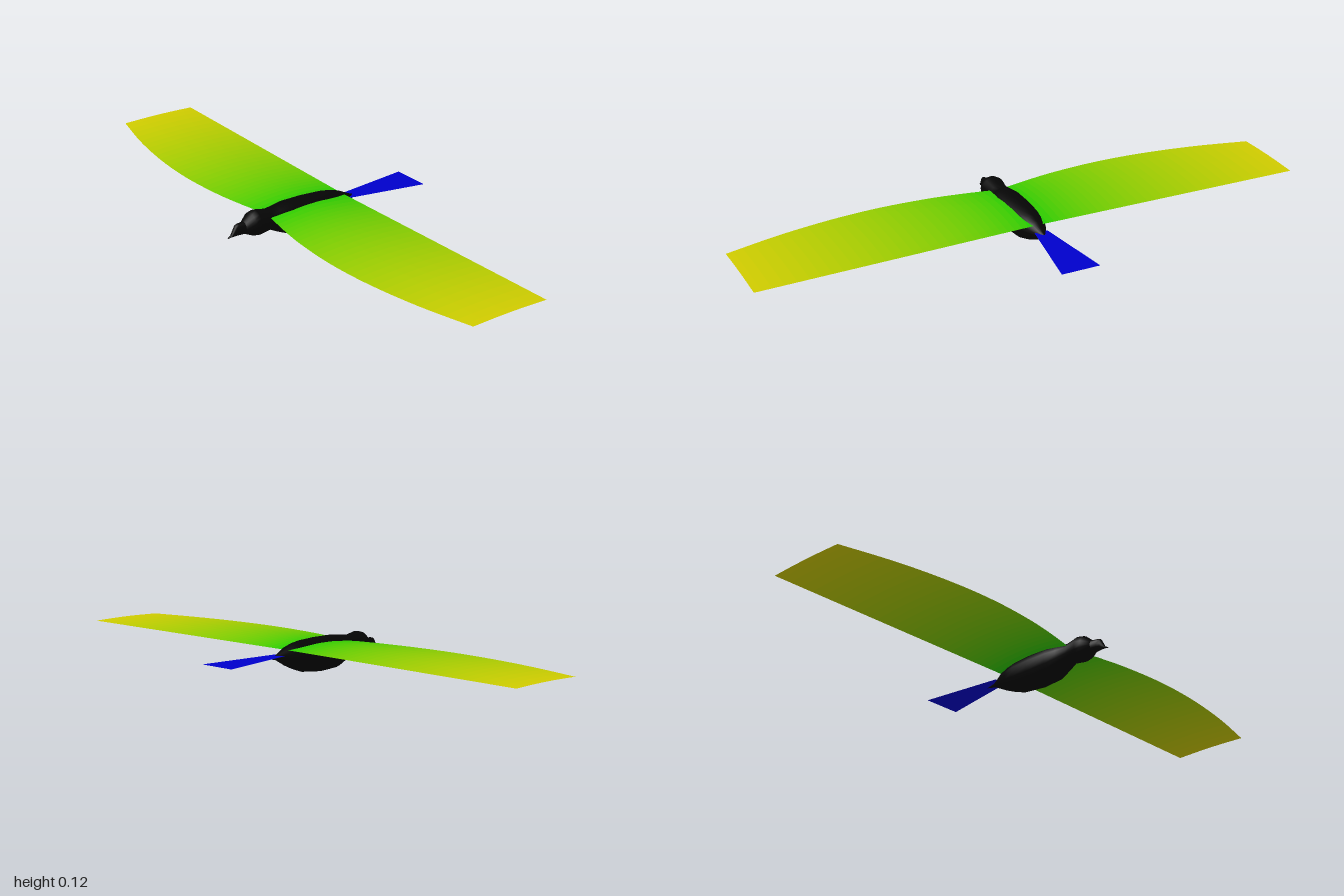
import * as THREE from 'three';

// Smooth surface from a grid of points, at(i, j) -> [x, y, z]
function gridGeometry(nu, nv, at) {
  const pos = [], idx = [];
  for (let i = 0; i <= nu; i++) for (let j = 0; j <= nv; j++) pos.push(...at(i, j));
  for (let i = 0; i < nu; i++) for (let j = 0; j < nv; j++) {
    const a = i * (nv + 1) + j, b = a + nv + 1;
    idx.push(a, b, a + 1, b, b + 1, a + 1);
  }
  const g = new THREE.BufferGeometry();
  g.setAttribute('position', new THREE.Float32BufferAttribute(pos, 3));
  g.setIndex(idx);
  g.computeVertexNormals();
  return g;
}

// Elliptical loft along z; each section is [z, bottom, top, half width]
function loft(sections, sides) {
  return gridGeometry(sections.length - 1, sides, (i, j) => {
    const [z, lo, hi, w] = sections[i];
    const a = (j / sides) * Math.PI * 2;
    return [Math.cos(a) * w, (lo + hi) / 2 + Math.sin(a) * (hi - lo) / 2, z];
  });
}

function addMesh(parent, name, geometry, color, side = THREE.FrontSide) {
  const mesh = new THREE.Mesh(geometry, new THREE.MeshStandardMaterial({ color, side }));
  mesh.name = name;
  parent.add(mesh);
  return mesh;
}

export function createModel() {
  const model = new THREE.Group();
  model.name = 'bird';
  const black = 0x050505;

  // Body and head, from the tail root to the face
  addMesh(model, 'body', loft([
    [-0.165, 0.07, 0.07, 0], [-0.124, 0.062, 0.076, 0.008], [-0.074, 0.035, 0.1, 0.033],
    [-0.04, 0.02, 0.11, 0.045], [0, 0.007, 0.116, 0.055], [0.074, 0, 0.12, 0.06],
    [0.15, 0.005, 0.12, 0.057], [0.19, 0.022, 0.115, 0.046], [0.225, 0.039, 0.111, 0.036],
    [0.272, 0.032, 0.12, 0.043], [0.293, 0.036, 0.115, 0.039], [0.32, 0.048, 0.092, 0.022],
    [0.32, 0.07, 0.07, 0],
  ], 20), black, THREE.DoubleSide);

  // Blunt beak with a small hooked tip
  addMesh(model, 'beak', loft([
    [0.31, 0.048, 0.092, 0.022], [0.342, 0.048, 0.09, 0.014], [0.353, 0.048, 0.087, 0.011],
    [0.37, 0.048, 0.054, 0.006], [0.384, 0.045, 0.047, 0.001], [0.384, 0.046, 0.046, 0],
  ], 12), black, THREE.DoubleSide);

  // Wings: cambered sheets in spanwise bands fading from green to yellow
  const leading = new THREE.SplineCurve([
    [0, 0.225], [0.12, 0.25], [0.25, 0.269], [0.42, 0.278],
    [0.6, 0.268], [0.8, 0.237], [1, 0.188],
  ].map(([x, z]) => new THREE.Vector2(x, z)));
  const wingPoint = (side, s, t) => {
    const { x, y: front } = leading.getPoint(s);
    const back = -0.08 - 0.02 * x;
    const camber = 0.003 + 0.011 * (1 - x);
    return [side * x, 0.092 + camber * Math.sin(Math.PI * t), front + (back - front) * t];
  };
  const bands = 32, steps = 3, chord = 12;
  for (const side of [1, -1]) {
    const wing = new THREE.Group();
    wing.name = side > 0 ? 'leftWing' : 'rightWing';
    for (let b = 0; b < bands; b++) {
      const geometry = gridGeometry(steps, chord, (i, j) => {
        // Mirroring the chord order keeps the top surface facing up
        const t = side > 0 ? 1 - j / chord : j / chord;
        return wingPoint(side, (b + i / steps) / bands, t);
      });
      geometry.index.array.reverse();
      geometry.computeVertexNormals();
      const x = leading.getPoint((b + 0.5) / bands).x;
      const color = new THREE.Color(0.64 * x, 0.6, 0);
      addMesh(wing, 'wingBand', geometry, color, THREE.DoubleSide);
    }
    model.add(wing);
  }

  // Flat tail fan widening to the rear
  addMesh(model, 'tail', gridGeometry(4, 2, (i, j) => {
    const t = i / 4;
    return [(j - 1) * (0.024 + 0.046 * t), 0.076 - 0.006 * t, -0.1 - 0.287 * t];
  }).scale(1, 1, 1), new THREE.Color(0, 0, 0.6), THREE.DoubleSide);

  return model;
}
